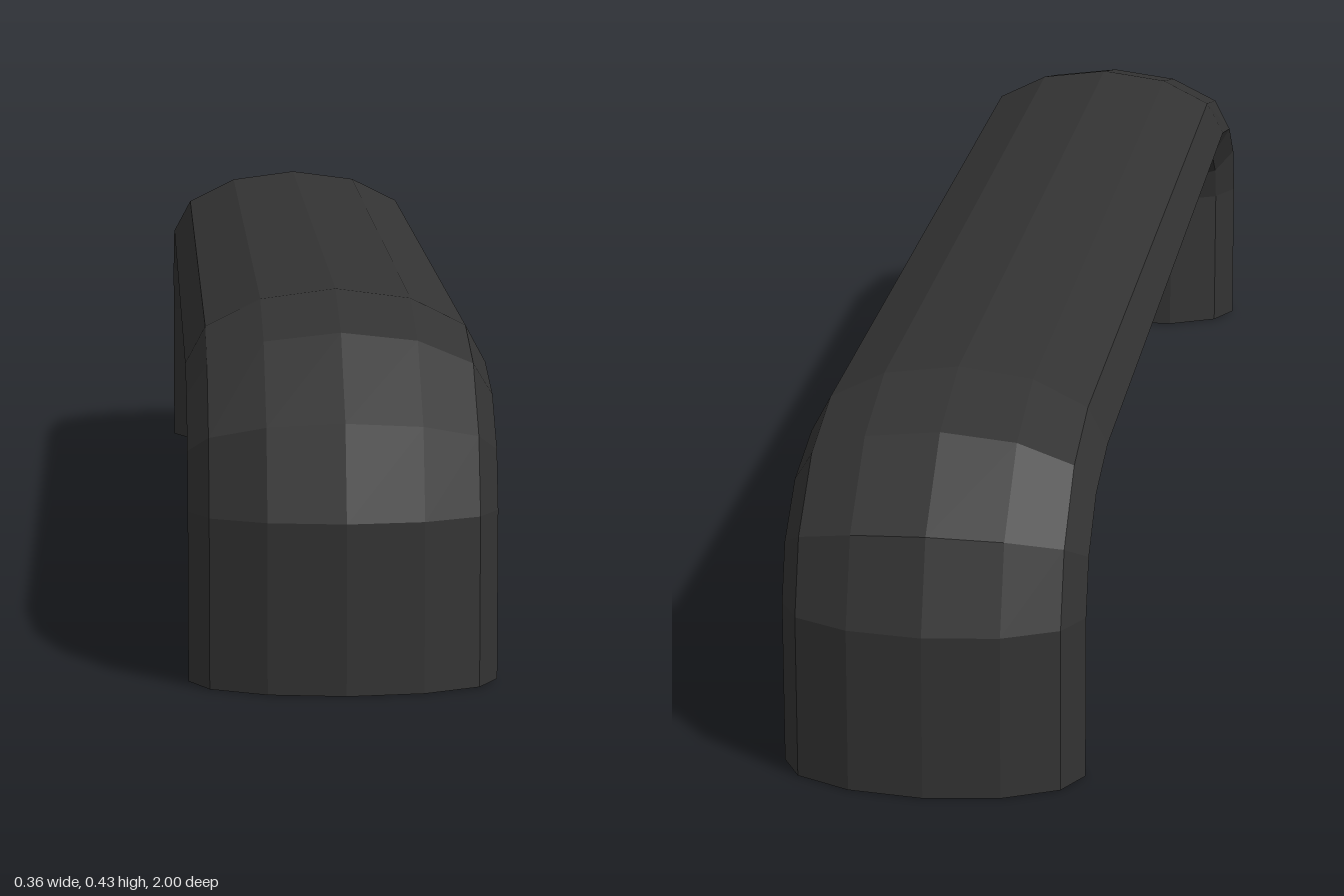
import * as THREE from 'three';

// Outer and inner edge of the handle (z, y), from the front foot to the end of the bend
const OUTER = [[1, 0], [1, 0.2], [0.962, 0.31], [0.852, 0.4], [0.71, 0.434]];
const INNER = [[0.832, 0], [0.832, 0.2], [0.822, 0.23], [0.79, 0.253], [0.71, 0.267]];

// Twelve-sided oval section with its inner side cut flat
const SECTION = [];
for (let k = 0; k < 12; k++) {
  if (k === 6) continue;
  const a = (k * Math.PI) / 6;
  SECTION.push({ x: 0.18 * Math.sin(a), t: 0.09 * Math.cos(a) });
}

// Mirror the front half of a path to the back
const mirrored = (path) => [...path, ...path.map(([z, y]) => [-z, y]).reverse()];

function handleGeometry() {
  const outer = mirrored(OUTER);
  const inner = mirrored(INNER);
  const n = SECTION.length;
  const last = outer.length - 1;
  const positions = [];
  const index = [];

  // One ring of the section at each station
  outer.forEach(([oz, oy], i) => {
    const [iz, iy] = inner[i];
    for (const { x, t } of SECTION) {
      const f = (0.09 - t) / 0.168;
      positions.push(x, oy + (iy - oy) * f, oz + (iz - oz) * f);
    }
  });

  // Walls between the rings
  for (let i = 0; i < last; i++) {
    for (let k = 0; k < n; k++) {
      const a = i * n + k;
      const b = i * n + ((k + 1) % n);
      index.push(a, b, b + n, a, b + n, a + n);
    }
  }

  // Flat undersides of the two feet
  const end = last * n;
  for (let k = 1; k < n - 1; k++) {
    index.push(0, k + 1, k, end, end + k, end + k + 1);
  }

  const geometry = new THREE.BufferGeometry();
  geometry.setAttribute('position', new THREE.Float32BufferAttribute(positions, 3));
  geometry.setIndex(index);
  const faceted = geometry.toNonIndexed();
  faceted.computeVertexNormals();
  return faceted;
}

export function createModel() {
  const group = new THREE.Group();
  group.name = 'pullHandle';
  const darkGrey = new THREE.MeshStandardMaterial({ color: 0x333333, flatShading: true });
  darkGrey.name = 'darkGrey';
  const handle = new THREE.Mesh(handleGeometry(), darkGrey);
  handle.name = 'handle';
  group.add(handle);
  return group;
}
